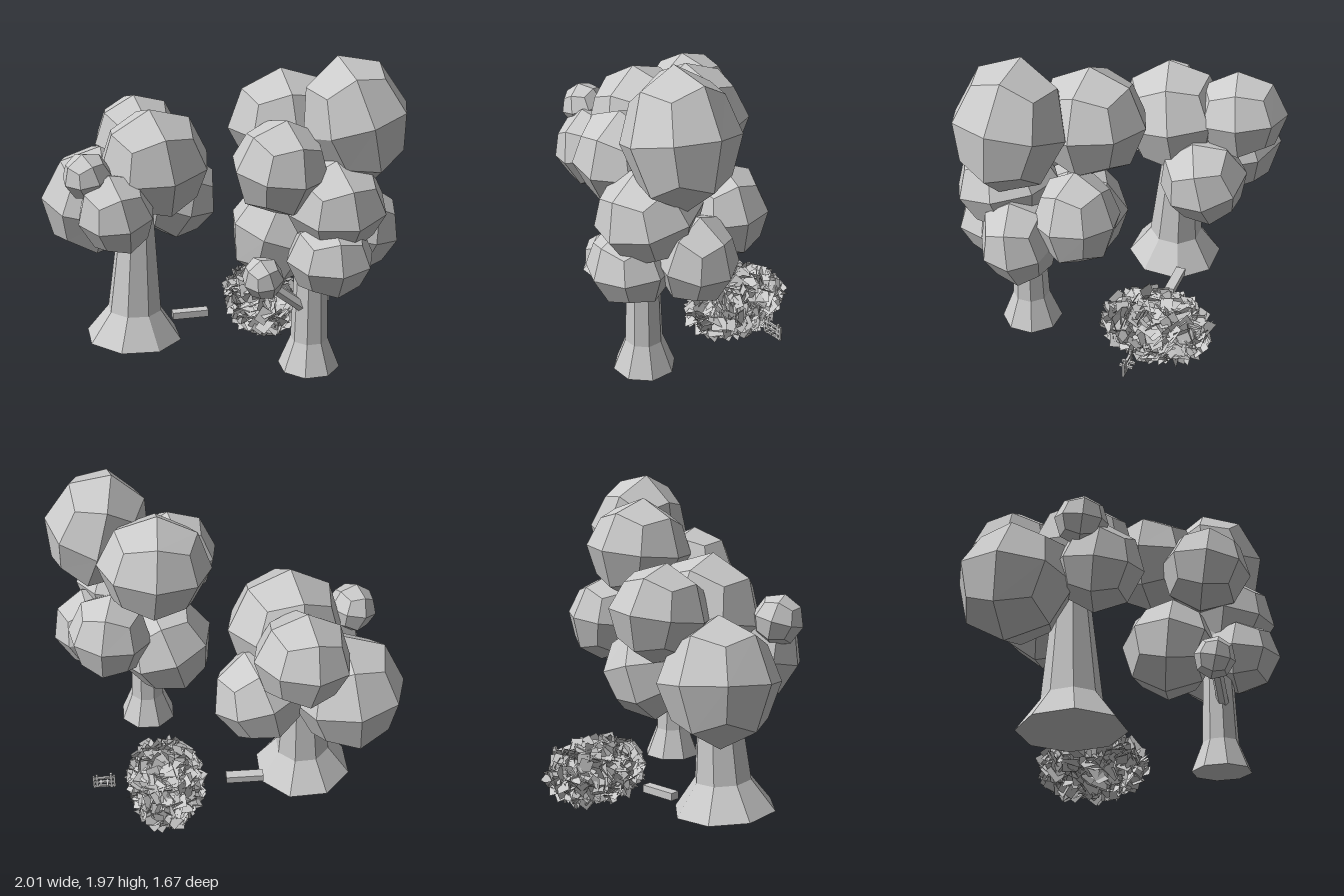
import * as THREE from 'three';

const grey = new THREE.MeshStandardMaterial({ color: 0xcccccc, flatShading: true });
const leafGrey = new THREE.MeshStandardMaterial({ color: 0xcccccc, flatShading: true, side: THREE.DoubleSide });

// Small seeded generator
let seed = 7;
const rand = () => (seed = (seed * 16807) % 2147483647) / 2147483647;

function add(parent, name, geometry, x = 0, y = 0, z = 0, material = grey) {
  const mesh = new THREE.Mesh(geometry, material);
  mesh.name = name;
  mesh.position.set(x, y, z);
  parent.add(mesh);
  return mesh;
}

const box = (w, h, d) => new THREE.BoxGeometry(w, h, d);

// Cube with 2 x 2 quads a side, blown up into a ball; corners pulled in so each quad is flat
function ballGeometry() {
  const g = new THREE.BoxGeometry(2, 2, 2, 2, 2, 2);
  const p = g.attributes.position;
  const v = new THREE.Vector3();
  for (let i = 0; i < p.count; i++) {
    v.fromBufferAttribute(p, i);
    v.setLength(v.lengthSq() > 2.5 ? 0.947 : 1);
    p.setXYZ(i, v.x, v.y, v.z);
  }
  return g;
}

// Foliage ball: centre, three radii, tilt
function foliage(tree, [x, y, z, rx, ry, rz, tx, ty, tz]) {
  const ball = add(tree, 'foliage', ballGeometry(), x, y, z);
  ball.scale.set(rx, ry, rz);
  ball.rotation.set(tx, ty, tz);
}

// Eight-sided trunk with a flared foot, from [radius, height] points
function trunk(tree, points, x, z, tiltX, tiltZ) {
  const profile = [[0, points[0][1]], ...points, [0, points[points.length - 1][1]]]
    .map(([r, y]) => new THREE.Vector2(r, y));
  const mesh = add(tree, 'trunk', new THREE.LatheGeometry(profile, 8, Math.PI / 8), x, 0.135, z);
  mesh.rotation.set(tiltX, 0, tiltZ);
}

function wideTree() {
  const tree = new THREE.Group();
  tree.name = 'wideTree';
  trunk(tree, [[0.3, 0], [0.168, 0.18], [0.1, 0.85]], -0.495, -0.14, -0.04, -0.05);
  [
    [-0.345, 1.24, -0.16, 0.345, 0.35, 0.33, 0.12, 0.22, 0.08],
    [-0.68, 0.95, -0.415, 0.33, 0.355, 0.34, 0.12, 0.05, -0.12],
    [-0.385, 1.3, -0.555, 0.275, 0.27, 0.285, 0.1, 0.18, 0.08],
    [-0.175, 0.945, -0.41, 0.275, 0.285, 0.265, 0.25, 0.2, -0.3],
    [-0.602, 1.02, 0.04, 0.23, 0.255, 0.25, 0.15, 0.2, 0.15],
    [-0.755, 1.24, -0.015, 0.145, 0.145, 0.15, 0.1, 0.4, 0.2],
  ].forEach((b) => foliage(tree, b));
  return tree;
}

function tallTree() {
  const tree = new THREE.Group();
  tree.name = 'tallTree';
  trunk(tree, [[0.181, 0], [0.11, 0.18], [0.08, 1.0]], 0.46, 0.455, 0, 0.01);
  [
    [0.7, 1.605, 0.4, 0.31, 0.375, 0.32, -0.1, 0, 0.28],
    [0.38, 1.53, 0.07, 0.33, 0.315, 0.315, 0.05, 0, 0.08],
    [0.265, 1.37, 0.44, 0.275, 0.28, 0.28, 0.15, 0.25, -0.08],
    [0.57, 1.16, 0.505, 0.29, 0.275, 0.3, 0.2, 0.15, 0.08],
    [0.522, 0.875, 0.585, 0.25, 0.235, 0.25, 0.1, 0, 0.03],
    [0.77, 0.935, 0.35, 0.245, 0.27, 0.22, 0.1, 0.15, -0.2],
    [0.66, 1.08, 0.05, 0.25, 0.275, 0.24, 0.08, -0.2, 0.1],
    [0.335, 0.9, 0.19, 0.3, 0.32, 0.3, 0.1, 0.2, -0.3],
    [0.162, 0.74, 0.5, 0.12, 0.13, 0.125, 0.2, 0.3, 0.2],
  ].forEach((b) => foliage(tree, b));

  // Side branch carrying the smallest ball
  const from = new THREE.Vector3(0.42, 0.52, 0.49);
  const to = new THREE.Vector3(0.17, 0.72, 0.5);
  const dir = to.clone().sub(from);
  const branch = add(tree, 'branch', new THREE.CylinderGeometry(0.035, 0.035, dir.length(), 6));
  branch.position.copy(from).add(to).multiplyScalar(0.5);
  branch.quaternion.setFromUnitVectors(new THREE.Vector3(0, 1, 0), dir.normalize());
  return tree;
}

// Bush: a rounded core covered with loose, ragged square leaves
function bush() {
  const group = new THREE.Group();
  group.name = 'bush';
  group.position.set(0.375, 0.215, -0.32);
  add(group, 'bushCore', ballGeometry()).scale.set(0.195, 0.16, 0.28);
  const count = 460;
  const leaves = new THREE.InstancedMesh(new THREE.PlaneGeometry(0.1, 0.075), leafGrey, count);
  leaves.name = 'leaves';
  const leaf = new THREE.Object3D();
  for (let i = 0; i < count; i++) {
    const h = 1 - (2 * (i + 0.5)) / count;
    const r = Math.pow(1 - h * h, 0.42);
    const a = i * 2.39996;
    const s = 0.82 + 0.2 * rand();
    leaf.position.set(0.21 * s * r * Math.cos(a), 0.17 * s * h, 0.315 * s * r * Math.sin(a));
    leaf.lookAt(leaf.position.clone().multiplyScalar(2));
    leaf.rotateZ(rand() * 6.28);
    leaf.rotateX((rand() - 0.5) * 2.4);
    leaf.rotateY((rand() - 0.5) * 2.4);
    leaf.updateMatrix();
    leaves.setMatrixAt(i, leaf.matrix);
  }
  group.add(leaves);
  return group;
}

// Little fence: pairs of posts, rails and two short cross bars
function fence() {
  const group = new THREE.Group();
  group.name = 'fence';
  group.position.set(0.75, 0, -0.28);
  for (const s of [-1, 1]) {
    add(group, 'outerPost', box(0.012, 0.09, 0.014), s * 0.063, 0.215, 0);
    add(group, 'innerPost', box(0.014, s < 0 ? 0.11 : 0.095, 0.014), s * 0.043, 0.222, 0);
    add(group, 'crossBar', box(0.014, 0.014, 0.08), s * 0.02, 0.21, 0);
  }
  for (const y of [0.18, 0.212, 0.245]) add(group, 'rail', box(0.13, 0.012, 0.014), 0, y, 0);
  return group;
}

export function createModel() {
  seed = 7;
  const model = new THREE.Group();
  model.name = 'treeGroup';
  model.add(wideTree(), tallTree(), bush(), fence());
  add(model, 'plank', box(0.23, 0.045, 0.06), -0.115, 0.177, -0.27);
  return model;
}
